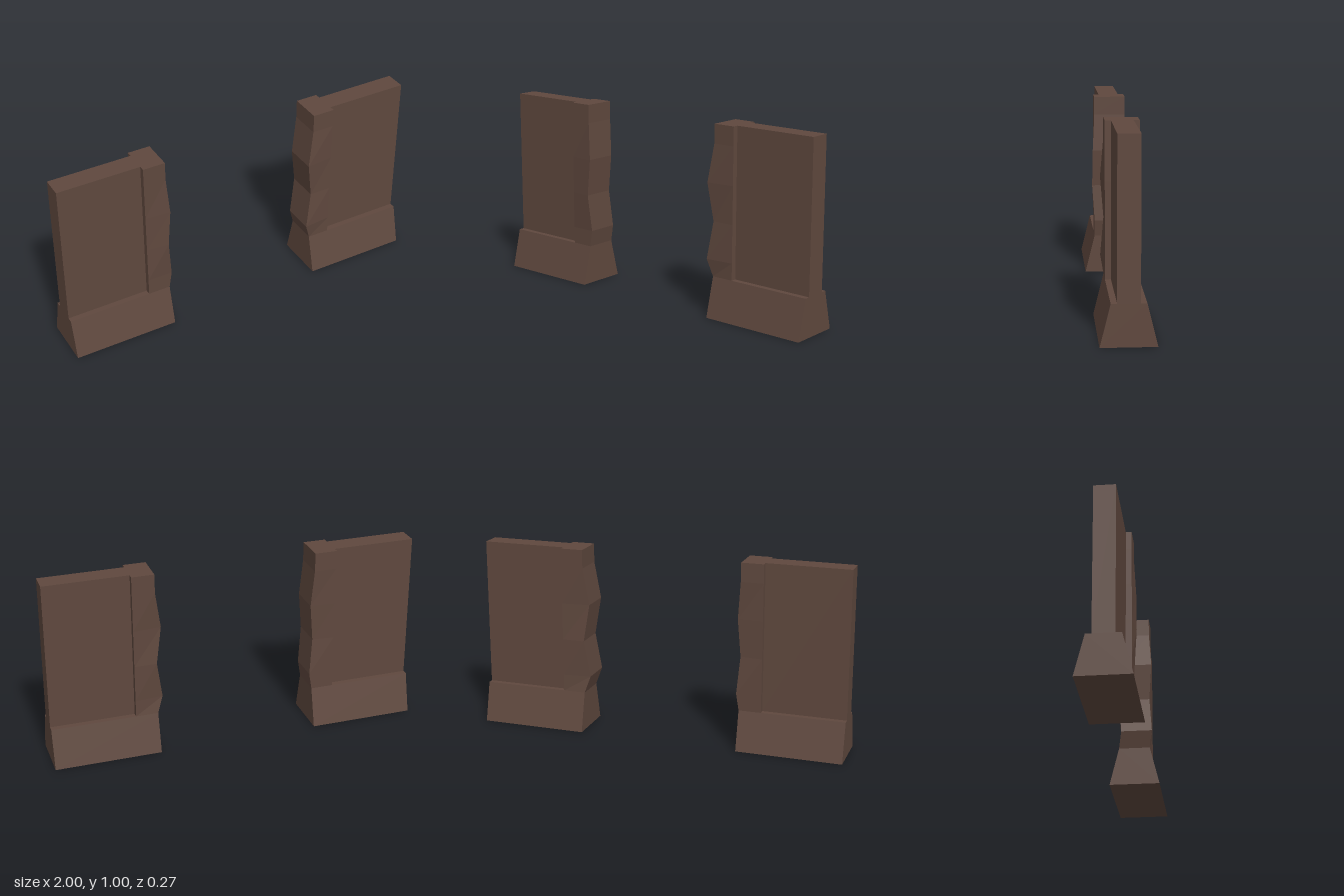
import * as THREE from 'three';

const material = new THREE.MeshStandardMaterial({ color: 0x5f483e, flatShading: true });

const BASE_TOP = 0.21, PILLAR_Z = 0.085, PANEL_Z = 0.055, FOOT_Z = 0.137;

function addMesh(group, name, geometry) {
  const mesh = new THREE.Mesh(geometry, material);
  mesh.name = name;
  group.add(mesh);
}

// Joins four-cornered rings (counterclockwise from above) and closes both ends
function loft(rings) {
  const position = [], index = [];
  rings.forEach((ring) => ring.forEach((p) => position.push(...p)));
  for (let i = 0; i < rings.length - 1; i++) {
    for (let j = 0; j < 4; j++) {
      const a = i * 4 + j, b = i * 4 + (j + 1) % 4;
      index.push(a, b, b + 4, a, b + 4, a + 4);
    }
  }
  const t = (rings.length - 1) * 4;
  index.push(t, t + 1, t + 2, t, t + 2, t + 3, 0, 2, 1, 0, 3, 2);
  const indexed = new THREE.BufferGeometry();
  indexed.setAttribute('position', new THREE.Float32BufferAttribute(position, 3));
  indexed.setIndex(index);
  const geometry = indexed.toNonIndexed();
  geometry.computeVertexNormals();
  return geometry;
}

// One wall end; jamb rows are [height, inner edge x, z shift of that edge]
function wallSection(name, side, jamb) {
  const group = new THREE.Group();
  group.name = name;
  const inner = jamb[0][1];
  const seam = inner + 0.12;

  // Splayed footing, thicker at the ground
  const profile = new THREE.Shape([
    new THREE.Vector2(-FOOT_Z, 0), new THREE.Vector2(FOOT_Z, 0),
    new THREE.Vector2(PILLAR_Z, BASE_TOP), new THREE.Vector2(-PILLAR_Z, BASE_TOP),
  ]);
  const footing = new THREE.ExtrudeGeometry(profile, { depth: 1 - inner, bevelEnabled: false });
  footing.rotateY(Math.PI / 2);
  footing.translate(side > 0 ? inner : -1, 0, 0);
  addMesh(group, 'footing', footing);

  // Recessed flat panel
  const panel = new THREE.BoxGeometry(1 - seam, 1 - BASE_TOP, PANEL_Z * 2);
  panel.translate(side * (1 + seam) / 2, (1 + BASE_TOP) / 2, 0);
  addMesh(group, 'panel', panel);

  // Thicker jamb with a worn, wavy inner edge
  const rings = jamb.map(([y, x, dz]) => {
    const outerEdge = [side * seam, 0], innerEdge = [side * x, dz];
    const [right, left] = side > 0 ? [outerEdge, innerEdge] : [innerEdge, outerEdge];
    return [
      [right[0], y, right[1] + PILLAR_Z], [right[0], y, right[1] - PILLAR_Z],
      [left[0], y, left[1] - PILLAR_Z], [left[0], y, left[1] + PILLAR_Z],
    ];
  });
  addMesh(group, 'jamb', loft(rings));
  return group;
}

export function createModel() {
  const model = new THREE.Group();
  model.name = 'brokenWall';
  model.add(
    wallSection('leftWall', 1, [
      [BASE_TOP, 0.43, 0], [0.3, 0.4, 0.015], [0.5, 0.43, 0],
      [0.7, 0.4, 0.015], [0.9, 0.43, 0], [1, 0.43, 0],
    ]),
    wallSection('rightWall', -1, [
      [BASE_TOP, 0.435, 0], [0.3, 0.42, 0], [0.5, 0.437, 0.013],
      [0.7, 0.42, 0.01], [0.9, 0.435, 0], [1, 0.435, 0],
    ]),
  );
  return model;
}
